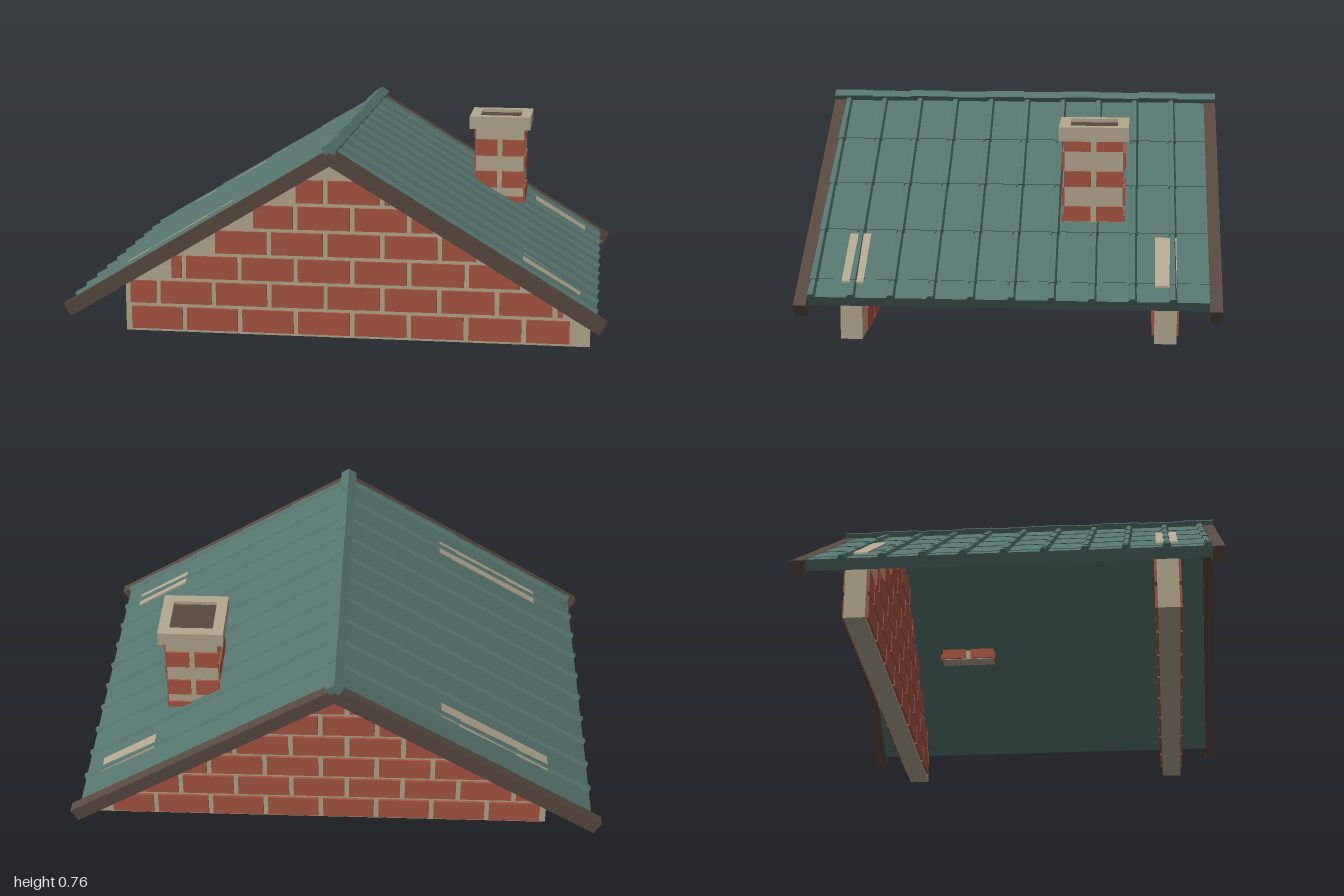
import * as THREE from 'three';

const mat = (name, color) => {
  const m = new THREE.MeshStandardMaterial({ color });
  m.name = name;
  return m;
};

export function createModel() {
  const teal = mat('roof teal', 0x577670);
  const brick = mat('brick red', 0xa95643);
  const mortar = mat('mortar beige', 0xb4a98f);
  const timber = mat('timber brown', 0x584a40);

  const root = new THREE.Group();
  root.name = 'gableRoof';

  const add = (parent, name, geometry, material) => {
    const mesh = new THREE.Mesh(geometry, material);
    mesh.name = name;
    parent.add(mesh);
    return mesh;
  };
  // box given by its minimum and maximum corners
  const box = (parent, name, material, x0, x1, y0, y1, z0, z1) => {
    const mesh = add(parent, name, new THREE.BoxGeometry(x1 - x0, y1 - y0, z1 - z0), material);
    mesh.position.set((x0 + x1) / 2, (y0 + y1) / 2, (z0 + z1) / 2);
    return mesh;
  };
  // outline in x and y pulled from z0 to z1
  const prism = (parent, name, material, points, z0, z1) => {
    const shape = new THREE.Shape(points.map(([x, y]) => new THREE.Vector2(x, y)));
    const geometry = new THREE.ExtrudeGeometry(shape, { depth: z1 - z0, bevelEnabled: false });
    const mesh = add(parent, name, geometry, material);
    mesh.position.z = z0;
    return mesh;
  };

  const slope = 0.605;
  const angle = Math.atan(slope);
  const apex = 0.735;
  const roofY = (x) => apex - slope * Math.abs(x);
  // roof-shaped outline: half width, apex height, thickness across the slope
  const chevron = (w, top, t) => {
    const ex = w - t * Math.sin(angle);
    const ey = top - slope * w - t * Math.cos(angle);
    return [[0, top], [-w, top - slope * w], [-ex, ey],
      [0, top - t / Math.cos(angle)], [ex, ey], [w, top - slope * w]];
  };

  // Roof deck and barge boards
  prism(root, 'roofDeck', teal, chevron(0.96, apex, 0.038), -0.712, 0.712);
  for (const s of [-1, 1]) {
    const z = s * 0.7325;
    prism(root, 'bargeBoard', timber, chevron(1, 0.74, 0.053), z - 0.0225, z + 0.0225);
  }

  // Tile courses and raised ribs on both slopes
  const course = 0.257;
  const slopeLength = 0.96 / Math.cos(angle);
  for (const s of [1, -1]) {
    const side = new THREE.Group();
    side.name = s > 0 ? 'leftSlope' : 'rightSlope';
    side.position.y = apex;
    side.rotation.set(0, s > 0 ? 0 : Math.PI, -angle);
    side.rotation.order = 'YXZ';
    root.add(side);
    for (let start = 0; start < slopeLength - 0.02; start += course) {
      const length = Math.min(course, slopeLength - start);
      const plate = box(side, 'tileCourse', teal, start, start + length, -0.002, 0.003, -0.711, 0.711);
      plate.rotation.z = 0.01;
      for (let i = 0; i < 10; i++) {
        const ribLength = Math.min(course + 0.015, slopeLength - start);
        const rib = add(side, 'tileRib',
          new THREE.CylinderGeometry(0.013, 0.017, ribLength, 6).toNonIndexed(), teal);
        rib.geometry.computeVertexNormals();
        rib.rotation.z = Math.PI / 2;
        rib.position.set(start + ribLength / 2, 0.002, s * (-0.582 + i * 0.1422));
      }
    }
  }

  // Ridge caps, alternately a little higher
  for (let i = 0; i < 10; i++) {
    const z = -0.755 + i * 0.151;
    prism(root, 'ridgeCap', teal, chevron(0.032, 0.76 + (i % 2) * 0.003, 0.03), z, z + 0.151);
  }

  // Gable walls: mortar core with bricks showing on both faces
  const wallOutline = [
    [-0.805, 0], [0.94, 0], [0.94, 0.135],
    [0.9, roofY(0.9) - 0.02], [0.9, roofY(0.9) + 0.011],
    [0.69, roofY(0.69) + 0.011], [0.69, roofY(0.69) - 0.02],
    [0, apex - 0.02],
    [-0.39, roofY(0.39) - 0.02], [-0.39, roofY(0.39) + 0.011],
    [-0.8, roofY(0.8) + 0.011], [-0.805, roofY(0.805) - 0.02],
  ];
  // left end, right end and one joint of each brick row
  const rows = [
    [-0.81, 0.865, 0.06], [-0.785, 0.84, -0.04], [-0.625, 0.68, 0.06],
    [-0.46, 0.52, -0.04], [-0.31, 0.36, 0.06], [-0.15, 0.2, -0.04],
  ];
  const pitch = 0.2125;
  for (const s of [-1, 1]) {
    const wall = new THREE.Group();
    wall.name = s > 0 ? 'frontWall' : 'backWall';
    wall.position.z = s * 0.557;
    root.add(wall);
    prism(wall, 'wallMortar', mortar, wallOutline, -0.039, 0.039);
    rows.forEach(([x0, x1, joint], r) => {
      for (let k = -5; k < 5; k++) {
        const a = Math.max(x0, joint + k * pitch + 0.009);
        const b = Math.min(x1, joint + (k + 1) * pitch - 0.009);
        if (b - a > 0.012) {
          box(wall, 'wallBrick', brick, a, b, 0.01 + r * 0.1, 0.096 + r * 0.1, -0.048, 0.048);
        }
      }
    });
  }

  // Chimney shaft
  const chimney = new THREE.Group();
  chimney.name = 'chimney';
  chimney.position.set(0.553, 0, -0.293);
  root.add(chimney);
  box(chimney, 'chimneyShaft', mortar, -0.097, 0.097, 0.375, 0.69, -0.109, 0.109);
  const sideRows = [[0.378, 0.433], [0.506, 0.563], [0.636, 0.676]];
  const frontRows = [[0.376, 0.4], [0.436, 0.503], [0.566, 0.633]];
  for (const s of [-1, 1]) {
    for (const h of [-1, 1]) {
      for (const [y0, y1] of sideRows) {
        const m = box(chimney, 'chimneySideBrick', brick, -0.005, 0.005, y0, y1, -0.049, 0.049);
        m.position.x = s * 0.099;
        m.position.z = h * 0.059;
      }
      for (const [y0, y1] of frontRows) {
        const m = box(chimney, 'chimneyFrontBrick', brick, -0.045, 0.045, y0, y1, -0.005, 0.005);
        m.position.x = h * 0.055;
        m.position.z = s * 0.111;
      }
    }
  }

  // Chimney cap with flue opening
  for (const s of [-1, 1]) {
    const [a, b] = s > 0 ? [0.082, 0.123] : [-0.123, -0.082];
    box(chimney, 'capSide', mortar, a, b, 0.676, 0.728, -0.127, 0.127);
    box(chimney, 'capEnd', mortar, -0.082, 0.082, 0.676, 0.728, a + s * 0.004, b + s * 0.004);
  }
  box(chimney, 'flue', timber, -0.082, 0.082, 0.68, 0.715, -0.086, 0.086);

  return root;
}
